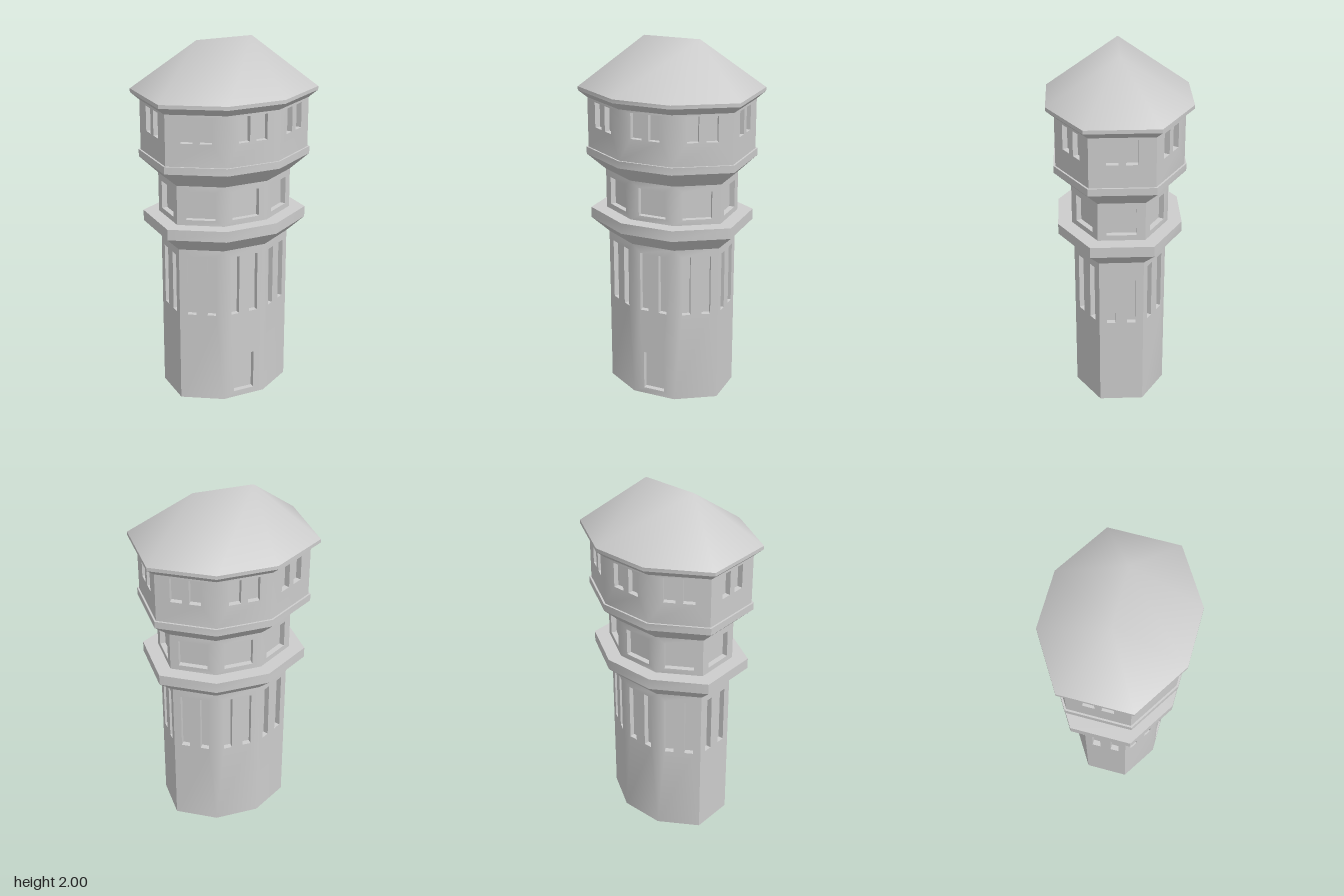
import * as THREE from 'three';
import { toCreasedNormals } from 'three/addons/utils/BufferGeometryUtils.js';

const V = (x, y, z) => new THREE.Vector3(x, y, z);
const CREASE = 0.68;
const RECESS = 0.03;

// Stretched octagon at height y, offset outward by d from the shaft wall; starts at the front face
function ring(d, y) {
  const hx = 0.33 + d, hz = 0.25 + d, ax = 0.124 + 0.277 * d, az = 0.12 + 0.566 * d;
  return [[-ax, hz], [ax, hz], [hx, az], [hx, -az], [ax, -hz], [-ax, -hz], [-hx, -az], [-hx, az]]
    .map(([x, z]) => V(x, y, z));
}

function tri(out, a, b, c) {
  if (a.distanceTo(b) > 1e-6 && b.distanceTo(c) > 1e-6 && c.distanceTo(a) > 1e-6) out.push(a, b, c);
}

function quad(out, a, b, c, d) {
  tri(out, a, b, c);
  tri(out, a, c, d);
}

// Band of eight faces between two rings
function band(out, low, high) {
  low.forEach((p, i) => {
    const j = (i + 1) % 8;
    quad(out, p, low[j], high[j], high[i]);
  });
}

// One wall face with recessed openings, each given as [centre, width, y0, y1]
function wallFace(out, a, b, y0, y1, openings) {
  const mid = a.clone().add(b).multiplyScalar(0.5);
  const u = b.clone().sub(a).normalize();
  const inward = V(u.z, 0, -u.x).negate();
  if (inward.dot(V(mid.x, 0, mid.z)) > 0) inward.negate();
  const h = a.distanceTo(b) / 2;
  const place = (p, depth = 0) => V(mid.x, p.y, mid.z).addScaledVector(u, p.x).addScaledVector(inward, depth);
  const rect = (l, r, lo, hi) => [[l, lo], [r, lo], [r, hi], [l, hi]].map(([x, y]) => new THREE.Vector2(x, y));

  const outline = rect(-h, h, y0, y1);
  const frames = openings.map(([c, w, lo, hi]) => rect(c - w / 2, c + w / 2, lo, hi));
  const holes = frames.map(f => [...f].reverse());
  const points = [...outline, ...holes.flat()];
  for (const f of THREE.ShapeUtils.triangulateShape(outline, holes)) {
    tri(out, ...f.map(i => place(points[i])));
  }
  // Reveals and back of each opening
  for (const f of frames) {
    const rim = f.map(p => place(p)), back = f.map(p => place(p, RECESS));
    quad(out, ...back);
    for (let i = 0; i < 4; i++) {
      const j = (i + 1) % 4;
      quad(out, rim[i], rim[j], back[j], back[i]);
    }
  }
}

// Full wall storey; the front face can carry extra openings
function storey(d, y0, y1, openings, frontExtra = []) {
  const out = [], r = ring(d, 0);
  r.forEach((p, i) => wallFace(out, p, r[(i + 1) % 8], y0, y1, i === 0 ? [...openings, ...frontExtra] : openings));
  return out;
}

// Moulding following a profile of [offset, height]
function moulding(profile) {
  const out = [], rings = profile.map(([d, y]) => ring(d, y));
  for (let i = 1; i < rings.length; i++) band(out, rings[i - 1], rings[i]);
  return out;
}

const pair = (c, w, lo, hi) => [[-c, w, lo, hi], [c, w, lo, hi]];

export function createModel() {
  const group = new THREE.Group();
  const stone = new THREE.MeshStandardMaterial({ color: 0xcccccc });
  stone.name = 'pale grey';

  const add = (name, points, crease = CREASE) => {
    const geometry = new THREE.BufferGeometry().setFromPoints(points);
    const mesh = new THREE.Mesh(toCreasedNormals(geometry, crease), stone);
    mesh.name = name;
    group.add(mesh);
  };

  // Shaft with tall slots and a front door
  add('shaft', storey(0, 0, 0.905, pair(0.055, 0.048, 0.52, 0.86), [[0, 0.122, 0.035, 0.26]]));

  // Closed underside
  const base = [], foot = ring(0, 0);
  for (let i = 1; i < 7; i++) tri(base, foot[0], foot[i + 1], foot[i]);
  add('base', base);

  // Gallery ledge, neck and flare
  add('galleryLedge', moulding([[0, 0.905], [0.085, 0.99], [0.085, 1.05], [0.01, 1.05]]));
  add('neck', storey(0.01, 1.05, 1.27, [[0, 0.157, 1.08, 1.235]]));
  add('upperFlare', moulding([[0.01, 1.27], [0.1, 1.36], [0.1, 1.4], [0.09, 1.4]]));

  // Wide top storey and eave
  add('topStorey', storey(0.09, 1.4, 1.675, pair(0.05, 0.063, 1.525, 1.663)));
  add('eave', moulding([[0.09, 1.675], [0.133, 1.715], [0.133, 1.735]]));

  // Hipped roof gathered to a short ridge, softly shaded
  const roof = [], eave = ring(0.133, 1.735);
  band(roof, eave, eave.map(p => V(Math.sign(p.x) * 0.161, 2, 0)));
  add('roof', roof, Math.PI);

  return group;
}
